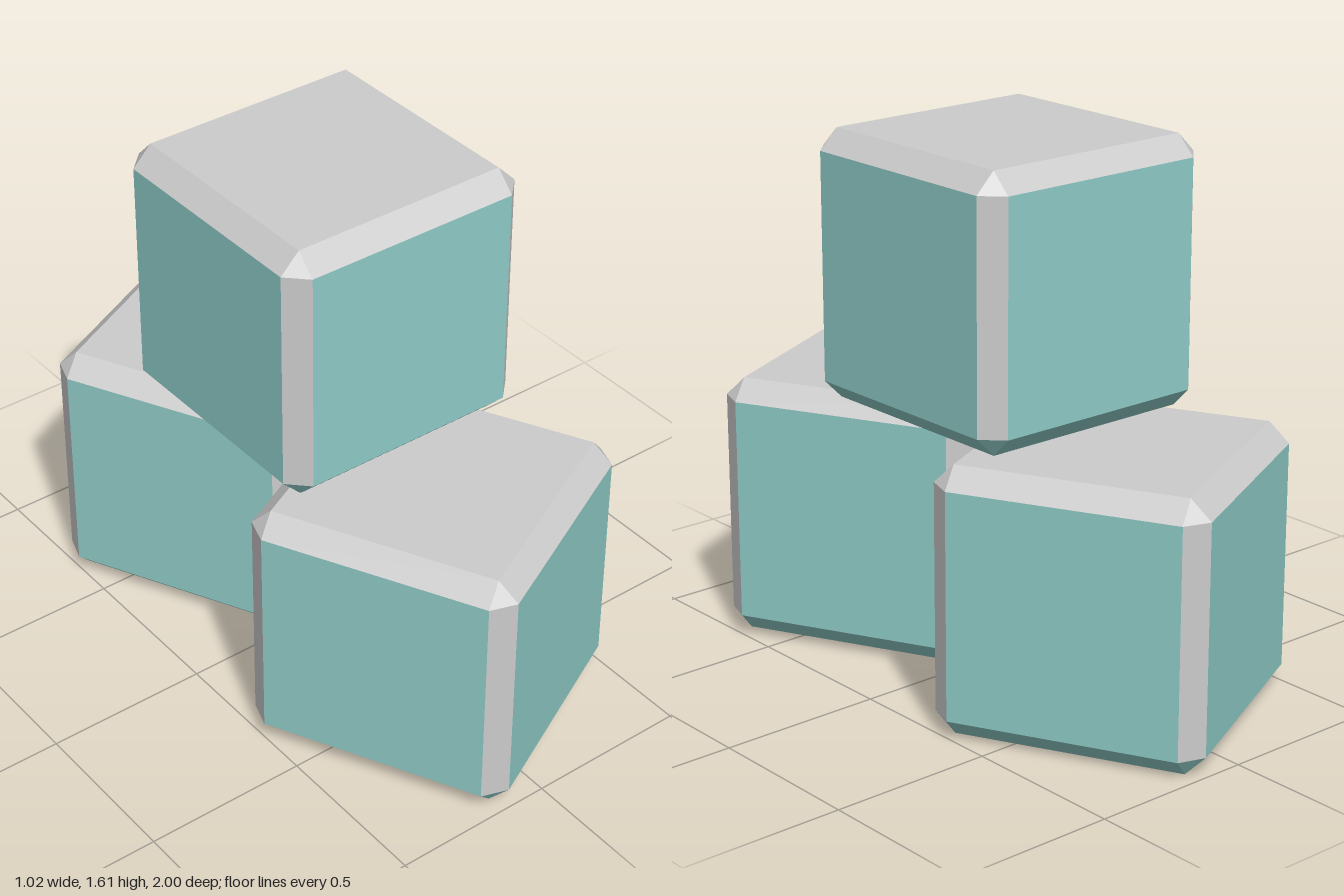
import * as THREE from 'three';

const HALF = 0.402;   // half the block's width
const INNER = 0.342;  // half the width of a flat face inside the chamfer
const ANGLE = THREE.MathUtils.degToRad(26.5);

// Eight points around the block at one height; when r equals INNER they collapse to a square.
function ring(r, y) {
  const points = [];
  for (let k = 0, a = INNER, b = r; k < 4; k++) {
    points.push([a, y, b], [b, y, a]);
    // quarter turn (x, z) -> (z, -x); the two points trade roles
    const turned = points.slice(-2).map(([x, , z]) => [z, y, -x]);
    [a, b] = [turned[0][0], turned[0][2]];
    if (k < 3) {
      points.push(...turned);
      for (let m = 0; m < 2; m++) {
        const last = points.slice(-2).map(([x, , z]) => [z, y, -x]);
        points.push(...last);
      }
      break;
    }
  }
  return points;
}

function facets(triangles) {
  const geometry = new THREE.BufferGeometry();
  geometry.setAttribute('position', new THREE.Float32BufferAttribute(triangles.flat(2), 3));
  geometry.computeVertexNormals();
  return geometry;
}

// Chamfered cube, split into a coloured body and a grey top with corner strips
function blockGeometries() {
  const rings = [ring(INNER, -HALF), ring(HALF, -INNER), ring(HALF, INNER), ring(INNER, HALF)];
  const body = [], trim = [];
  const same = (p, q) => p.every((v, i) => v === q[i]);
  for (let band = 0; band < 3; band++) {
    for (let j = 0; j < 8; j++) {
      const n = (j + 1) % 8;
      const a = rings[band][j], b = rings[band][n];
      const c = rings[band + 1][n], d = rings[band + 1][j];
      const isStrip = j % 2 === 0;
      const target = band === 2 || (band === 1 && isStrip) ? trim : body;
      if (!same(a, b)) target.push([a, b, c]);
      if (!same(c, d)) target.push([a, c, d]);
    }
  }
  const [bottom, , , top] = rings;
  trim.push([top[0], top[2], top[4]], [top[0], top[4], top[6]]);
  body.push([bottom[0], bottom[4], bottom[2]], [bottom[0], bottom[6], bottom[4]]);
  return { body: facets(body), trim: facets(trim) };
}

export function createModel() {
  const model = new THREE.Group();
  model.name = 'blockStack';
  const teal = new THREE.MeshStandardMaterial({ color: 0x8fccc7, flatShading: true });
  const grey = new THREE.MeshStandardMaterial({ color: 0xcccccc, flatShading: true });
  const { body, trim } = blockGeometries();

  function addBlock(name, baseY, z, turn) {
    const block = new THREE.Group();
    block.name = name;
    const sides = new THREE.Mesh(body, teal);
    sides.name = 'sidesAndBase';
    const cap = new THREE.Mesh(trim, grey);
    cap.name = 'topAndCornerStrips';
    block.add(sides, cap);
    block.position.set(0, baseY + HALF, z);
    block.rotation.y = turn;
    model.add(block);
  }

  // Two turned blocks side by side, one straight block on top
  addBlock('frontBlock', 0.01, 0.488, ANGLE);
  addBlock('backBlock', 0, -0.488, ANGLE);
  addBlock('topBlock', 0.81, -0.025, 0);
  return model;
}
